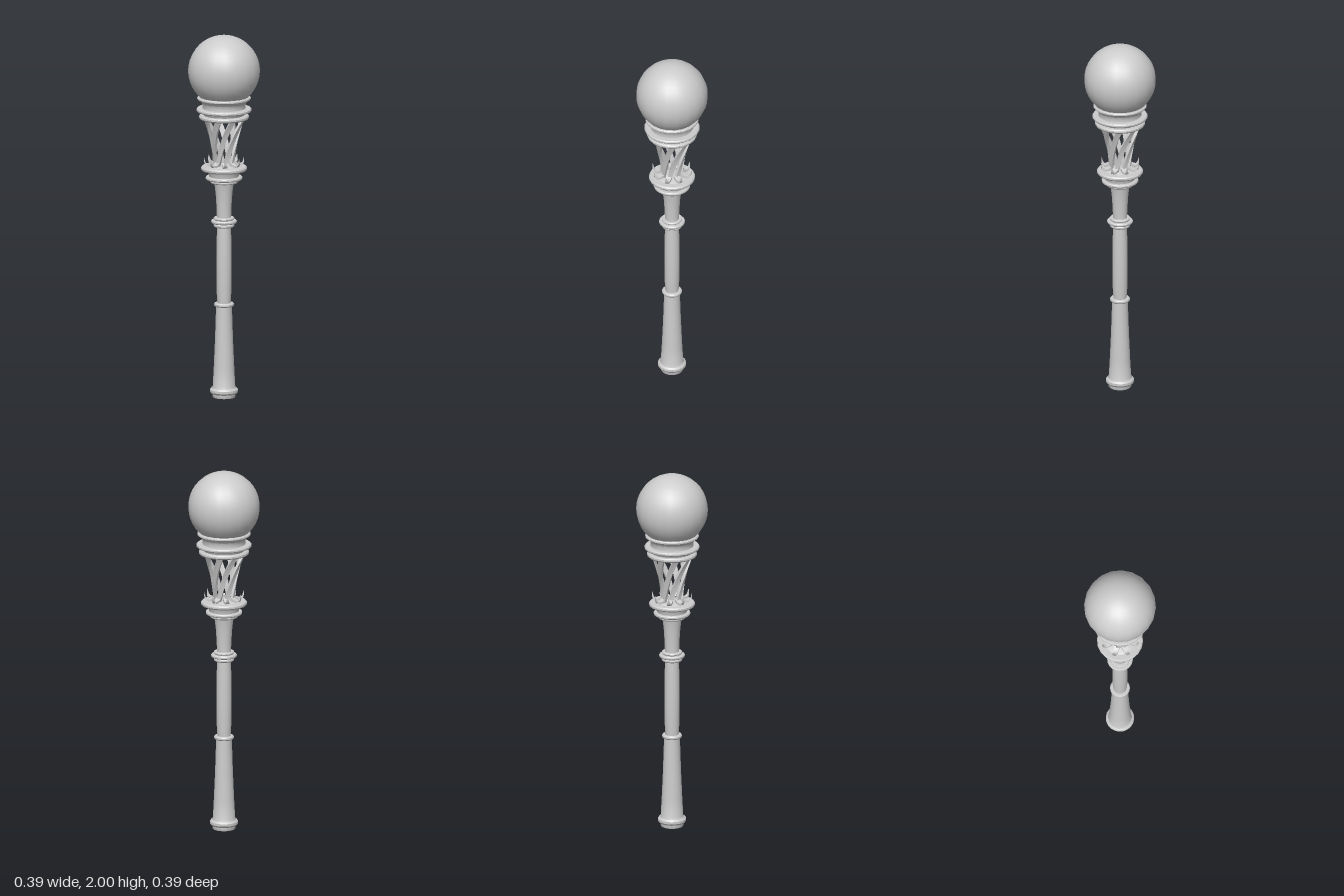
import * as THREE from 'three';
import { toCreasedNormals } from 'three/addons/utils/BufferGeometryUtils.js';

const SIDES = 20;

export function createModel() {
  const model = new THREE.Group();
  model.name = 'scepter';
  const stone = new THREE.MeshStandardMaterial({ color: 0xcccccc });
  stone.name = 'pale grey';

  const add = (name, geometry, parent = model) => {
    const mesh = new THREE.Mesh(geometry, stone);
    mesh.name = name;
    parent.add(mesh);
    return mesh;
  };

  // Turned part from [radius, height] pairs, bottom to top
  const turned = (name, profile) => add(name, toCreasedNormals(
    new THREE.LatheGeometry(profile.map(([r, y]) => new THREE.Vector2(r, y)), SIDES), 0.55));

  // Rounded collar with a bulging edge
  const collar = (name, y, r, h, inner = r - h) => turned(name, [
    [0, y - h / 2], [inner, y - h / 2], [r - h * 0.25, y - h / 2], [r, y - h * 0.2],
    [r, y + h * 0.2], [r - h * 0.25, y + h / 2], [inner, y + h / 2], [0, y + h / 2]]);

  // Handle
  turned('pommel', [[0, 0], [0.06, 0], [0.062, 0.004], [0.062, 0.022], [0, 0.022]]);
  collar('pommelRing', 0.037, 0.077, 0.032);
  turned('lowerShaft', [[0.066, 0.05], [0.061, 0.065], [0.056, 0.16], [0.049, 0.32], [0.043, 0.51]]);
  collar('lowerRing', 0.513, 0.054, 0.02);
  turned('middleShaft', [[0.036, 0.515], [0.04, 0.58], [0.042, 0.74], [0.04, 0.88], [0.036, 0.965]]);
  collar('gripRingSmall', 0.951, 0.056, 0.018);
  collar('gripRingLarge', 0.972, 0.07, 0.018);
  collar('gripRingTop', 0.989, 0.056, 0.014);
  turned('upperShaft', [[0.039, 0.985], [0.04, 1.04], [0.045, 1.12], [0.052, 1.18], [0.056, 1.2]]);

  // Capital
  collar('capitalLowerRing', 1.194, 0.076, 0.016);
  collar('capitalRing', 1.213, 0.1, 0.018);
  turned('capitalDrum', [[0.08, 1.215], [0.082, 1.235], [0.09, 1.255], [0, 1.255]]);
  collar('capitalDisk', 1.266, 0.125, 0.023);
  turned('capitalDome', [[0.09, 1.276], [0.075, 1.283], [0, 1.286]]);

  // Twisted strut: a box swept up and around the axis while it spreads
  const strut = new THREE.BoxGeometry(1, 1, 1, 1, 14, 1);
  const p = strut.attributes.position;
  for (let i = 0; i < p.count; i++) {
    const t = p.getY(i) + 0.5;
    const a = t * 1.2;
    const r = 0.052 + 0.055 * t * t + p.getZ(i) * 0.014;
    const w = p.getX(i) * (0.022 + 0.012 * t);
    p.setXYZ(i, r * Math.sin(a) + w * Math.cos(a), 1.275 + 0.27 * t,
      r * Math.cos(a) - w * Math.sin(a));
  }
  const strutGeometry = toCreasedNormals(strut, 0.6);

  // Curled leaf: a tapering box that runs outward, then up to a point
  const path = new THREE.CatmullRomCurve3([[1.3, 0.05], [1.286, 0.075], [1.292, 0.1], [1.328, 0.109]]
    .map(([y, z]) => new THREE.Vector3(0, y, z)));
  const leaf = new THREE.BoxGeometry(1, 1, 1, 1, 8, 1);
  const q = leaf.attributes.position;
  for (let i = 0; i < q.count; i++) {
    const t = q.getY(i) + 0.5;
    const c = path.getPoint(t), d = path.getTangent(t);
    const taper = 1 - 0.92 * t * t;
    const n = q.getZ(i) * 0.014 * taper;
    q.setXYZ(i, q.getX(i) * 0.03 * taper, c.y - d.z * n, c.z + d.y * n);
  }
  const leafGeometry = toCreasedNormals(leaf, 0.6);

  const struts = new THREE.Group(), leaves = new THREE.Group();
  struts.name = 'twistedStruts';
  leaves.name = 'leafCrown';
  model.add(struts, leaves);
  for (let i = 0; i < 8; i++) {
    const angle = (i + 0.25) * Math.PI / 4;
    add('strut', strutGeometry, struts).rotation.y = angle;
    add('leaf', leafGeometry, leaves).rotation.y = angle;
  }

  // Cup
  collar('cupLowerRing', 1.551, 0.136, 0.022);
  turned('cupNeck', [[0.11, 1.558], [0.116, 1.572], [0.125, 1.588]]);
  collar('cupRing', 1.59, 0.15, 0.019);
  turned('cupBowl', [[0.118, 1.596], [0.116, 1.61], [0.12, 1.628], [0.132, 1.642], [0.14, 1.65]]);
  turned('cupRim', [[0.12, 1.646], [0.141, 1.646], [0.146, 1.65], [0.146, 1.657],
    [0.141, 1.662], [0.12, 1.662]]);

  // Orb
  add('orb', new THREE.SphereGeometry(0.195, SIDES, 20)).position.y = 1.805;

  return model;
}
